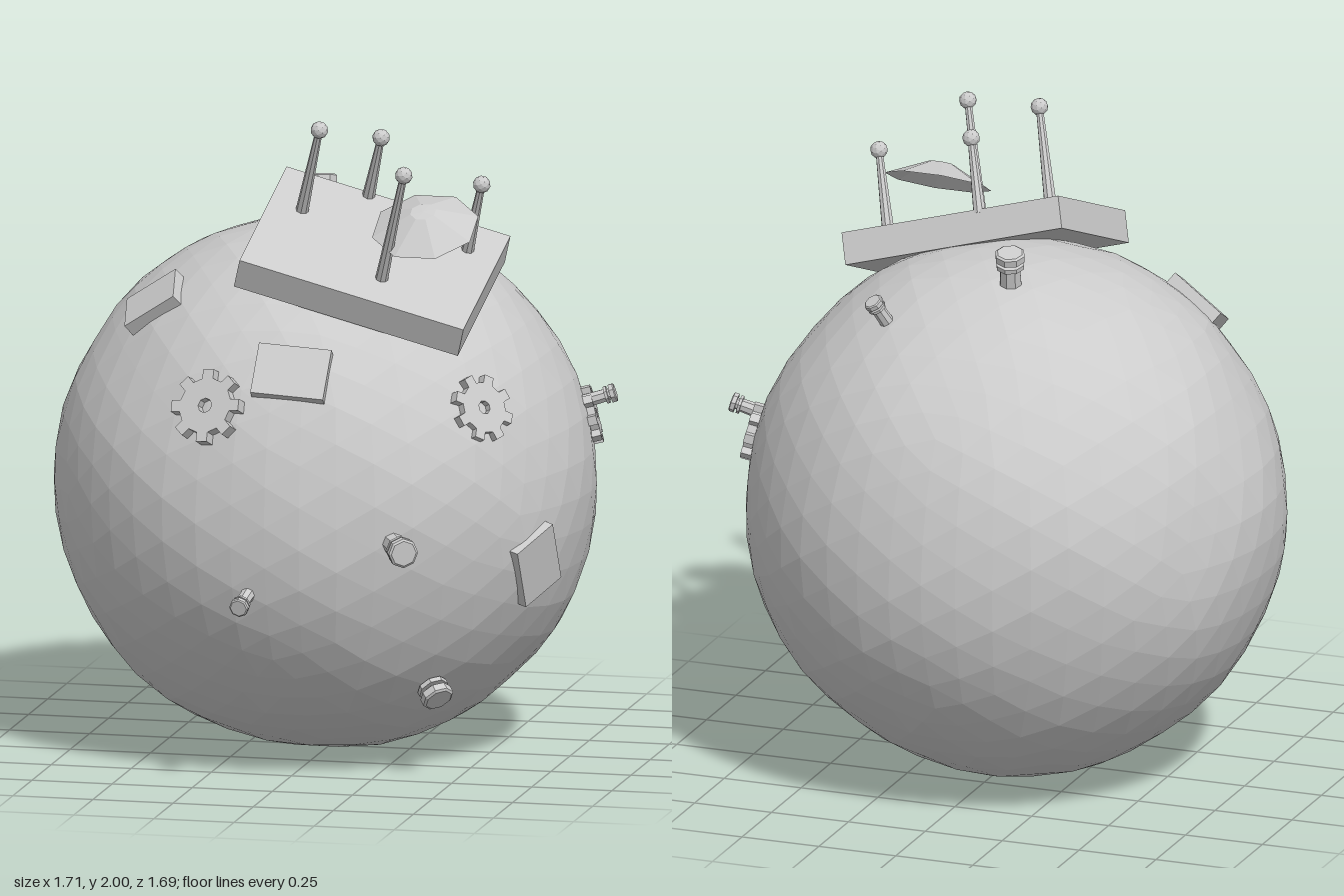
import * as THREE from 'three';

const material = new THREE.MeshStandardMaterial({ color: 0xcccccc, flatShading: true });
const openMaterial = new THREE.MeshStandardMaterial({ color: 0xcccccc, flatShading: true, side: THREE.DoubleSide });
const CENTER = new THREE.Vector3(-0.02, 0.822, -0.03);
const vec = (a) => new THREE.Vector3(...a);

function mesh(name, geometry, mat = material) {
  const m = new THREE.Mesh(geometry, mat);
  m.name = name;
  return m;
}

// Stands an object at a point with its own y along a normal and its x near a hint
function place(object, point, normal, hint = [1, 0, 0]) {
  const y = normal.clone().normalize();
  const x = vec(hint).addScaledVector(y, -vec(hint).dot(y)).normalize();
  const z = new THREE.Vector3().crossVectors(x, y);
  object.quaternion.setFromRotationMatrix(new THREE.Matrix4().makeBasis(x, y, z));
  object.position.copy(point);
  return object;
}

// Places an object on the ball, pointing away from its middle
function onBall(object, point, hint) {
  const p = vec(point);
  return place(object, p, p.clone().sub(CENTER), hint);
}

// Faceted ball with slight, smooth dents
function makeBall() {
  const g = new THREE.IcosahedronGeometry(1, 7);
  const pos = g.attributes.position;
  const v = new THREE.Vector3();
  for (let i = 0; i < pos.count; i++) {
    v.fromBufferAttribute(pos, i);
    const { x, y, z } = v;
    const dent = Math.sin(5.1 * x + 2.3 * y + 1) * Math.sin(4.3 * y - 3.1 * z + 0.5) * 0.007
      + Math.sin(9 * x - 7 * z) * Math.sin(8 * y + 5 * x + 2) * 0.005;
    v.multiplyScalar(1 + dent);
    pos.setXYZ(i, v.x * 0.829, v.y * 0.821, v.z * 0.811);
  }
  g.computeVertexNormals();
  const ball = mesh('ball', g);
  ball.position.copy(CENTER);
  return ball;
}

// Toothed wheel with a centre hole, lying flat with its axis on y
function makeGear(radius) {
  const shape = new THREE.Shape();
  const teeth = 8;
  for (let i = 0; i < teeth; i++) {
    [[-0.27, 0.75], [-0.2, 1], [0.2, 1], [0.27, 0.75]].forEach(([step, r], k) => {
      const a = ((i + step) / teeth) * Math.PI * 2;
      const x = Math.cos(a) * r * radius, y = Math.sin(a) * r * radius;
      if (i + k === 0) shape.moveTo(x, y); else shape.lineTo(x, y);
    });
  }
  shape.closePath();
  const hole = new THREE.Path();
  hole.absarc(0, 0, radius * 0.2, 0, Math.PI * 2, true);
  shape.holes.push(hole);
  const g = new THREE.ExtrudeGeometry(shape, { depth: 0.06, bevelEnabled: false, curveSegments: 4 });
  g.translate(0, 0, -0.035).rotateX(-Math.PI / 2);
  return mesh('gear', g);
}

// Turned knob: shank, flange, neck and cap; s is the cap radius
function makeKnob(s, length) {
  const profile = [
    [0, -0.05], [s * 0.8, -0.05], [s * 0.68, length - s * 1.1], [s * 0.95, length - s * 1.1],
    [s * 0.95, length - s * 0.8], [s * 0.6, length - s * 0.8], [s * 0.6, length - s * 0.55],
    [s, length - s * 0.55], [s, length - s * 0.1], [s * 0.85, length], [0, length],
  ].map(([x, y]) => new THREE.Vector2(x, y));
  return mesh('knob', new THREE.LatheGeometry(profile, 8));
}

// Tapered mast with a small faceted bead
function makeAntenna(length) {
  const antenna = new THREE.Group();
  antenna.name = 'antenna';
  const mast = mesh('mast', new THREE.CylinderGeometry(0.011, 0.02, length, 8));
  mast.position.y = length / 2;
  const bead = mesh('bead', new THREE.IcosahedronGeometry(0.027, 1));
  bead.position.y = length;
  antenna.add(mast, bead);
  return antenna;
}

export function createModel() {
  const model = new THREE.Group();
  model.name = 'gadgetBall';
  model.add(makeBall());

  // Tilted slab on top
  const up = vec([0.264, 0.889, 0.374]).normalize();
  const slabTop = vec([0.21, 1.606, 0.288]);
  const slab = mesh('platform', new THREE.BoxGeometry(0.717, 0.1, 0.53));
  model.add(place(slab, slabTop.clone().addScaledVector(up, -0.05), up, [0.69, -0.19, -0.035]));

  // Antennas, given by their tips and running down into the slab
  for (const tip of [[0.05, 1.975, 0.345], [0.195, 1.92, 0.145], [0.365, 1.89, 0.56], [0.533, 1.81, 0.245]]) {
    const height = vec(tip).sub(slabTop).dot(up) + 0.01;
    model.add(place(makeAntenna(height), vec(tip).addScaledVector(up, -height), up));
  }

  // Shallow eight-sided dish, tipped forward
  const dishProfile = [[0, 0.06], [0.04, 0.058], [0.165, 0]].map(([x, y]) => new THREE.Vector2(x, y));
  const dish = mesh('dish', new THREE.LatheGeometry(dishProfile, 8, Math.PI / 8), openMaterial);
  model.add(place(dish, vec([0.382, 1.692, 0.352]), vec([0, 0.89, 0.46])));

  // Gears: point, radius
  for (const [point, radius] of [
    [[-0.215, 1.17, 0.685], 0.115], [[0.57, 1.15, 0.425], 0.105], [[0.76, 1.02, -0.205], 0.09],
  ]) model.add(onBall(makeGear(radius), point));

  // Flat panels: point, size, direction of the first edge
  for (const [point, size, edge] of [
    [[-0.465, 1.415, 0.335], [0.19, 0.05, 0.14], [0.16, 0.1, 0.02]],
    [[0.035, 1.275, 0.64], [0.225, 0.05, 0.165], [1, -0.04, 0]],
    [[0.705, 0.66, 0.31], [0.17, 0.06, 0.205], [0.08, 0.08, -0.15]],
  ]) model.add(onBall(mesh('panel', new THREE.BoxGeometry(...size)), point, edge));

  // Knobs: foot on the ball, cap radius, length
  for (const [foot, radius, length] of [
    [[0.36, 0.775, 0.68], 0.046, 0.13], [[0.395, 0.315, 0.395], 0.05, 0.1],
    [[-0.077, 0.61, 0.745], 0.03, 0.1], [[0.755, 1.07, -0.165], 0.03, 0.1],
    [[0.255, 1.49, -0.4], 0.03, 0.1], [[-0.08, 1.605, -0.235], 0.047, 0.115],
  ]) model.add(onBall(makeKnob(radius, length), foot));

  return model;
}
